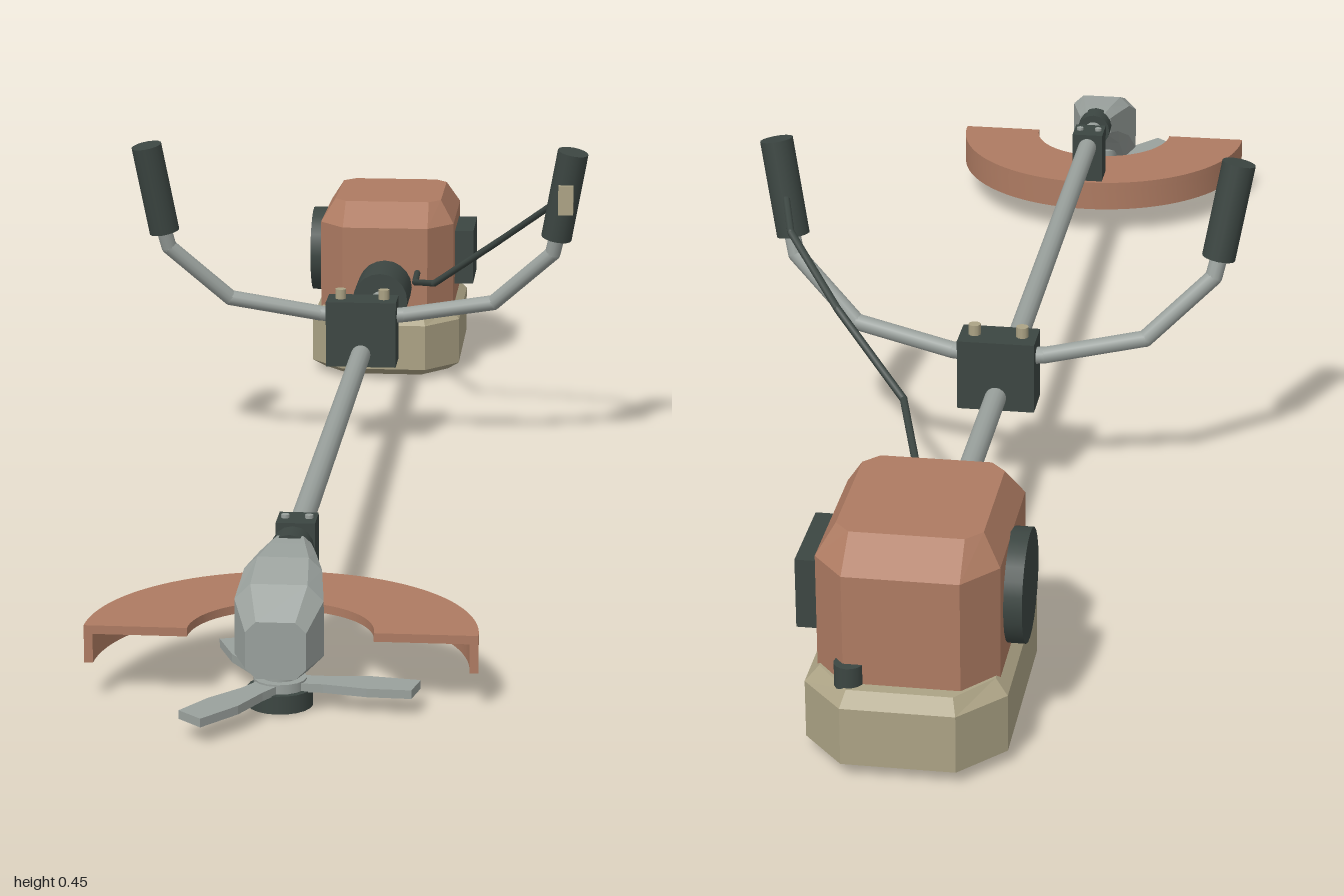
import * as THREE from 'three';
import { toCreasedNormals } from 'three/addons/utils/BufferGeometryUtils.js';

const mat = (name, color) => {
  const m = new THREE.MeshStandardMaterial({ color });
  m.name = name;
  return m;
};

export function createModel() {
  const brown = mat('housing brown', 0xae7b62);
  const tan = mat('tank tan', 0xaca385);
  const dark = mat('dark rubber', 0x3c4642);
  const grey = mat('metal grey', 0x9aa19d);
  const root = new THREE.Group();
  root.name = 'brushCutter';
  const V = (x, y, z) => new THREE.Vector3(x, y, z);

  const add = (name, geo, material, x = 0, y = 0, z = 0, parent = root) => {
    const m = new THREE.Mesh(geo, material);
    m.name = name;
    m.position.set(x, y, z);
    parent.add(m);
    return m;
  };
  const box = (name, w, h, d, material, x, y, z, parent) =>
    add(name, new THREE.BoxGeometry(w, h, d), material, x, y, z, parent);

  // Round rod between two points
  const rod = (name, a, b, r, material, parent = root, sides = 16) => {
    const m = add(name, new THREE.CylinderGeometry(r, r, a.distanceTo(b), sides), material, 0, 0, 0, parent);
    m.position.copy(a).add(b).multiplyScalar(0.5);
    m.quaternion.setFromUnitVectors(V(0, 1, 0), b.clone().sub(a).normalize());
    return m;
  };
  // Bent rod with rounded joints
  const bentRod = (name, pts, r, material, sides) => {
    const g = new THREE.Group();
    g.name = name;
    root.add(g);
    for (let i = 1; i < pts.length; i++) {
      rod(name + 'Section', pts[i - 1], pts[i], r, material, g, sides);
      if (i < pts.length - 1) add(name + 'Joint', new THREE.SphereGeometry(r, sides, 8), material, ...pts[i].toArray(), g);
    }
  };

  // Faceted loft through corner-cut rectangles; section = [w, u, v, halfU, halfV, cutU, cutV]
  const loft = (sections, place) => {
    const pos = [];
    const rings = sections.map(([w, u, v, a, b, c, d]) => [
      [a, d - b], [a, b - d], [a - c, b], [c - a, b], [-a, b - d], [-a, d - b], [c - a, -b], [a - c, -b],
    ].map(([p, q]) => place(u + p, v + q, w)));
    const tri = (...p) => p.forEach((q) => pos.push(...q));
    for (let i = 0; i < rings.length - 1; i++) {
      for (let j = 0; j < 8; j++) {
        const k = (j + 1) % 8, A = rings[i], B = rings[i + 1];
        tri(A[j], A[k], B[k]);
        tri(A[j], B[k], B[j]);
      }
    }
    const first = rings[0], last = rings[rings.length - 1];
    for (let j = 1; j < 7; j++) {
      tri(first[0], first[j + 1], first[j]);
      tri(last[0], last[j], last[j + 1]);
    }
    const g = new THREE.BufferGeometry();
    g.setAttribute('position', new THREE.Float32BufferAttribute(pos, 3));
    g.computeVertexNormals();
    return g;
  };
  const upward = (u, v, w) => [v, w, u];
  const forward = (u, v, w) => [u, v, w];

  // Fuel tank and engine housing
  add('fuelTank', loft([
    [0.002, -0.83, 0, 0.135, 0.097, 0.045, 0.04],
    [0.018, -0.83, 0, 0.17, 0.115, 0.055, 0.05],
    [0.088, -0.83, 0, 0.17, 0.115, 0.055, 0.05],
    [0.104, -0.83, 0, 0.155, 0.1, 0.05, 0.04],
  ], upward), tan);
  add('engineHousing', loft([
    [0.08, -0.83, 0, 0.14, 0.104, 0.045, 0.038],
    [0.236, -0.83, 0, 0.14, 0.104, 0.045, 0.038],
    [0.27, -0.83, 0, 0.097, 0.083, 0.02, 0.018],
  ], upward), brown);
  rod('starterCover', V(-0.125, 0.172, -0.84), V(-0.1, 0.172, -0.84), 0.066, dark, root, 24);
  box('airFilter', 0.035, 0.085, 0.118, dark, 0.1155, 0.173, -0.84);
  rod('fuelCap', V(0.06, 0.09, -0.965), V(0.06, 0.128, -0.965), 0.017, dark);
  rod('clutchHousing', V(0, 0.143, -0.7), V(0, 0.143, -0.59), 0.042, dark, root, 20);

  // Long drive shaft
  rod('driveShaft', V(0, 0.144, -0.6), V(0, 0.144, 0.76), 0.014, grey);

  // Handlebar clamp, bars and grips
  box('handleClamp', 0.1, 0.094, 0.055, dark, 0, 0.173, -0.262);
  for (const s of [-1, 1]) {
    rod('clampBolt', V(s * 0.031, 0.215, -0.262), V(s * 0.031, 0.234, -0.262), 0.008, tan, root, 10);
    bentRod('handlebar', [
      V(0, 0.192, -0.265), V(s * 0.06, 0.197, -0.265), V(s * 0.188, 0.221, -0.248),
      V(s * 0.272, 0.3, -0.22), V(s * 0.28, 0.335, -0.212),
    ], 0.011, grey, 12);
    rod('grip', V(s * 0.277, 0.324, -0.212), V(s * 0.299, 0.449, -0.197), 0.0215, dark);
  }
  box('throttleTrigger', 0.021, 0.041, 0.02, tan, 0.29, 0.384, -0.185);

  // Throttle cable
  bentRod('throttleCable', [
    V(0.288, 0.385, -0.205), V(0.265, 0.355, -0.28), V(0.19, 0.287, -0.36), V(0.092, 0.205, -0.44),
    V(0.056, 0.18, -0.56), V(0.05, 0.165, -0.7),
  ], 0.005, dark, 8);

  // Half-ring guard: flat top with an outer skirt
  const halfRing = (inner, outer, height) => {
    const s = new THREE.Shape();
    s.absarc(0, 0, outer, 0, Math.PI, false);
    s.absarc(0, 0, inner, Math.PI, 0, true);
    s.closePath();
    const g = new THREE.ExtrudeGeometry(s, { depth: height, bevelEnabled: false, curveSegments: 24 });
    return toCreasedNormals(g.rotateX(-Math.PI / 2), 0.5);
  };
  add('guardTop', halfRing(0.105, 0.222, 0.01), brown, 0, 0.079, 0.85);
  add('guardSkirt', halfRing(0.212, 0.222, 0.035), brown, 0, 0.045, 0.85);
  box('guardClamp', 0.046, 0.078, 0.046, dark, 0, 0.125, 0.658);
  for (const s of [-1, 1]) {
    rod('guardBolt', V(s * 0.014, 0.16, 0.658), V(s * 0.014, 0.168, 0.658), 0.005, grey, root, 8);
  }

  // Gear head bending down to the cutter
  rod('gearCollar', V(0, 0.144, 0.71), V(0, 0.144, 0.745), 0.025, dark);
  add('gearHead', loft([
    [0.735, 0, 0.145, 0.024, 0.02, 0.009, 0.008],
    [0.765, 0, 0.14, 0.032, 0.025, 0.012, 0.01],
    [0.815, 0, 0.125, 0.044, 0.039, 0.015, 0.014],
    [0.86, 0, 0.096, 0.05, 0.05, 0.018, 0.018],
    [0.898, 0, 0.081, 0.034, 0.033, 0.012, 0.012],
  ], forward), grey);
  rod('outputShaft', V(0, 0.025, 0.85), V(0, 0.065, 0.85), 0.02, grey);

  // Three flared blades
  const blade = new THREE.Shape([[0, -0.015], [0.05, -0.015], [0.1, -0.024], [0.15, -0.024],
    [0.157, 0.012], [0.1, 0.019], [0.05, 0.014], [0, 0.014]].map((p) => new THREE.Vector2(...p)));
  const bladeGeo = new THREE.ExtrudeGeometry(blade, { depth: 0.01, bevelEnabled: false }).rotateX(-Math.PI / 2);
  for (let i = 0; i < 3; i++) {
    add('blade', bladeGeo, grey, 0, 0.023, 0.85).rotation.y = -0.03 - i * Math.PI * 2 / 3;
  }
  rod('bladeHub', V(0, 0.021, 0.85), V(0, 0.035, 0.85), 0.03, grey);
  rod('bladeNut', V(0, 0.003, 0.85), V(0, 0.024, 0.85), 0.037, dark, root, 20);

  return root;
}
